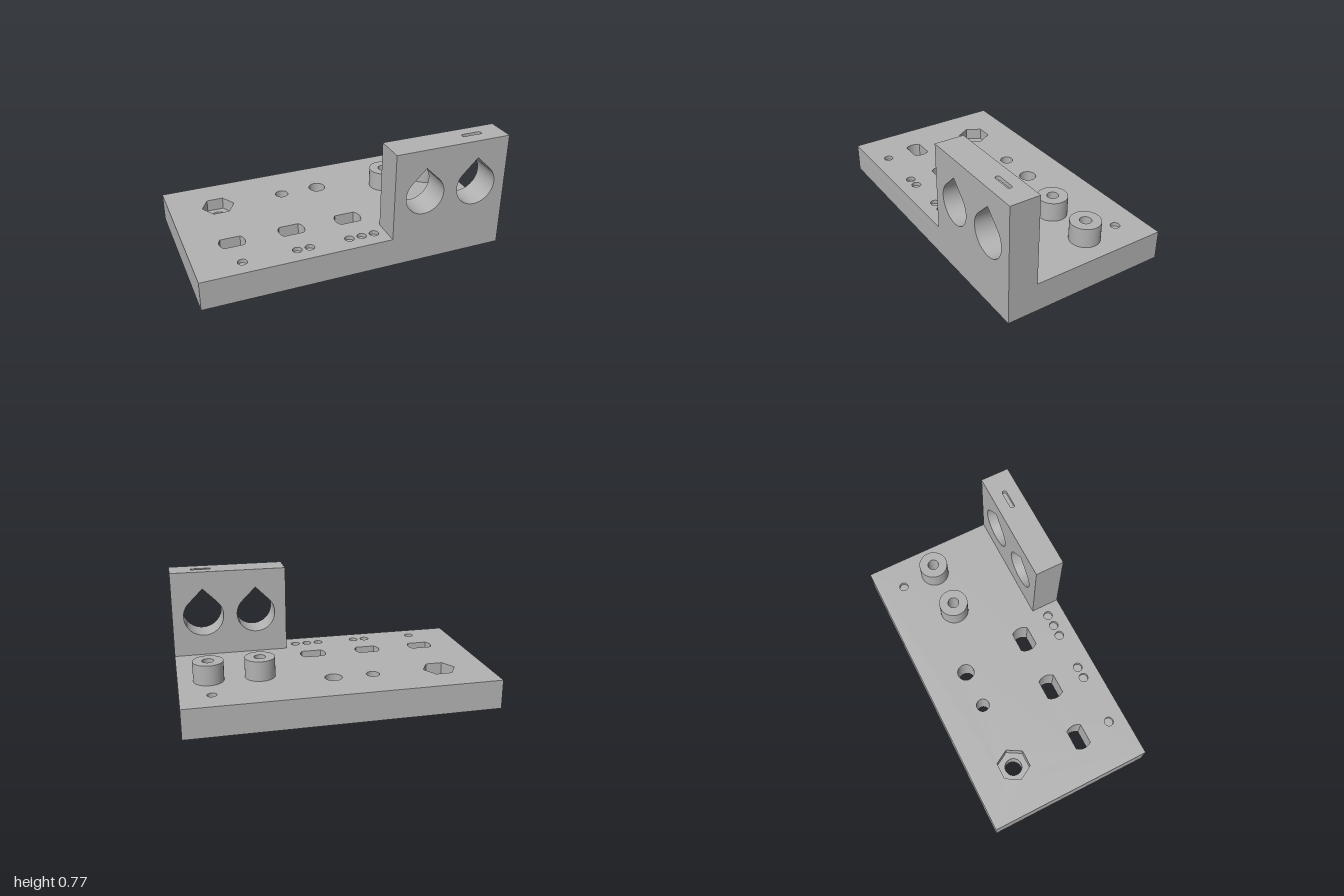
import * as THREE from 'three';
import { mergeGeometries, toCreasedNormals } from 'three/addons/utils/BufferGeometryUtils.js';

const X = 1, Z = 0.549;              // plate half width and half depth
const TOP = 0.193;                   // plate thickness
const WALL = { x: 0.225, z: 0.357, y: 0.775 };
const POST_TOP = 0.323;

const v = (x, y) => new THREE.Vector2(x, y);

// Counter-clockwise arc of points
function arc(x, y, r, a0 = 0, a1 = Math.PI * 2, n = 40, closed = true) {
  const pts = [];
  for (let i = 0; i < n + (closed ? 0 : 1); i++) {
    const a = a0 + (a1 - a0) * i / n;
    pts.push(v(x + r * Math.cos(a), y + r * Math.sin(a)));
  }
  return pts;
}

const circle = (x, y, r) => arc(x, y, r);

// Circle cut flat on two sides
function flatSlot(x, y, r, half) {
  const a = Math.asin(half / r);
  return [...arc(x, y, r, -a, a, 12, false), ...arc(x, y, r, Math.PI - a, Math.PI + a, 12, false)];
}

// Round hole with a pointed 45 degree roof
function teardrop(x, y, r) {
  return [v(x, y + r * Math.SQRT2), ...arc(x, y, r, Math.PI * 0.75, Math.PI * 2.25, 40, false)];
}

// Rounded narrow slot
function roundSlot(x, y, half, r) {
  const q = Math.PI / 2;
  return [...arc(x + half - r, y, r, -q, q, 12, false), ...arc(x - half + r, y, r, q, 3 * q, 12, false)];
}

// Flat face at a height along the shape's axis
function cap(outline, holes, h, flip = false) {
  const shape = new THREE.Shape(outline);
  shape.holes = holes.map(p => new THREE.Path(p));
  const g = new THREE.ShapeGeometry(shape);
  if (flip) g.index.array.reverse();
  g.translate(0, 0, h);
  return g;
}

// Side surface along an outline; inward faces line a hole
function side(pts, h0, h1, inward = false, closed = true) {
  const pos = [], n = pts.length;
  for (let i = 0; i < (closed ? n : n - 1); i++) {
    let a = pts[i], b = pts[(i + 1) % n];
    if (inward) [a, b] = [b, a];
    pos.push(a.x, a.y, h0, b.x, b.y, h0, b.x, b.y, h1, a.x, a.y, h0, b.x, b.y, h1, a.x, a.y, h1);
  }
  const g = new THREE.BufferGeometry();
  g.setAttribute('position', new THREE.Float32BufferAttribute(pos, 3));
  return g;
}

// Lining and floor of a blind pocket
const pocket = (pts, floor, top) => [side(pts, floor, top, true), cap(pts, [], floor)];

function joined(list) {
  const clean = list.map(g => {
    const f = g.index ? g.toNonIndexed() : g;
    f.deleteAttribute('uv');
    f.deleteAttribute('normal');
    return f;
  });
  const g = mergeGeometries(clean);
  g.computeVertexNormals();
  return toCreasedNormals(g, Math.PI / 6);
}

export function createModel() {
  const group = new THREE.Group();
  const grey = new THREE.MeshStandardMaterial({ color: 0xb2b2b2 });
  grey.name = 'plain grey';

  function add(name, list, upright = false) {
    const g = joined(list);
    if (!upright) g.rotateX(-Math.PI / 2);   // shape y becomes -z, height becomes y
    const mesh = new THREE.Mesh(g, grey);
    mesh.name = name;
    group.add(mesh);
  }

  // Openings in the plate, given in x and -z
  const through = [
    circle(-0.23, 0.26, 0.043), circle(0.03, 0.26, 0.056),
    flatSlot(-0.71, -0.207, 0.083, 0.052),
    flatSlot(-0.322, -0.207, 0.085, 0.055),
    flatSlot(0.065, -0.207, 0.087, 0.057),
  ];
  const dots = [-0.71, -0.365, -0.283, -0.02, 0.063, 0.147].map(x => circle(x, -0.437, 0.03));
  dots.push(circle(0.805, 0.373, 0.03));
  const hex = arc(-0.68, 0.26, 0.108, 0, Math.PI * 2, 6);
  const hexBore = circle(-0.68, 0.26, 0.056);
  const hexFloor = 0.113;
  const posts = [0.48, 0.805].map(x => ({
    outer: circle(x, 0.13, 0.097), bore: circle(x, 0.13, 0.037),
  }));

  // Base plate, open under the wall and the posts
  const outline = [v(-X, -Z), v(X, -Z), v(X, Z), v(-X, Z)];
  const deck = [v(-X, -Z), v(WALL.x, -Z), v(WALL.x, -WALL.z), v(X, -WALL.z), v(X, Z), v(-X, Z)];
  add('basePlate', [
    cap(deck, [...through, ...dots, hex, ...posts.map(p => p.outer)], TOP),
    cap(outline, [...through, hexBore], 0, true),
    side(outline, 0, TOP),
  ]);
  add('throughHoles', through.map(p => side(p, 0, TOP, true)));
  add('markerDots', dots.flatMap(p => pocket(p, TOP - 0.025, TOP)));
  add('hexPocket', [
    side(hex, hexFloor, TOP, true), cap(hex, [hexBore], hexFloor), side(hexBore, 0, hexFloor, true),
  ]);

  // Hollow posts
  for (const p of posts) {
    add('post', [
      side(p.outer, TOP, POST_TOP), cap(p.outer, [p.bore], POST_TOP), ...pocket(p.bore, 0.06, POST_TOP),
    ]);
  }

  // Upright wall with two teardrop holes
  const drops = [teardrop(0.433, 0.467, 0.13), teardrop(0.79, 0.467, 0.135)];
  const face = [v(WALL.x, TOP), v(X, TOP), v(X, WALL.y), v(WALL.x, WALL.y)];
  add('uprightWall', [
    cap(face, drops, Z),
    cap(face, drops, WALL.z, true),
    side([face[1], face[2]], WALL.z, Z, false, false),
    side([face[3], face[0]], WALL.z, Z, false, false),
    ...drops.map(p => side(p, WALL.z, Z, true)),
  ], true);

  // Wall top with its shallow slot
  const slot = roundSlot(0.79, -0.448, 0.069, 0.015);
  const rim = [v(WALL.x, -Z), v(X, -Z), v(X, -WALL.z), v(WALL.x, -WALL.z)];
  add('wallTop', [cap(rim, [slot], WALL.y), ...pocket(slot, WALL.y - 0.025, WALL.y)]);

  return group;
}
